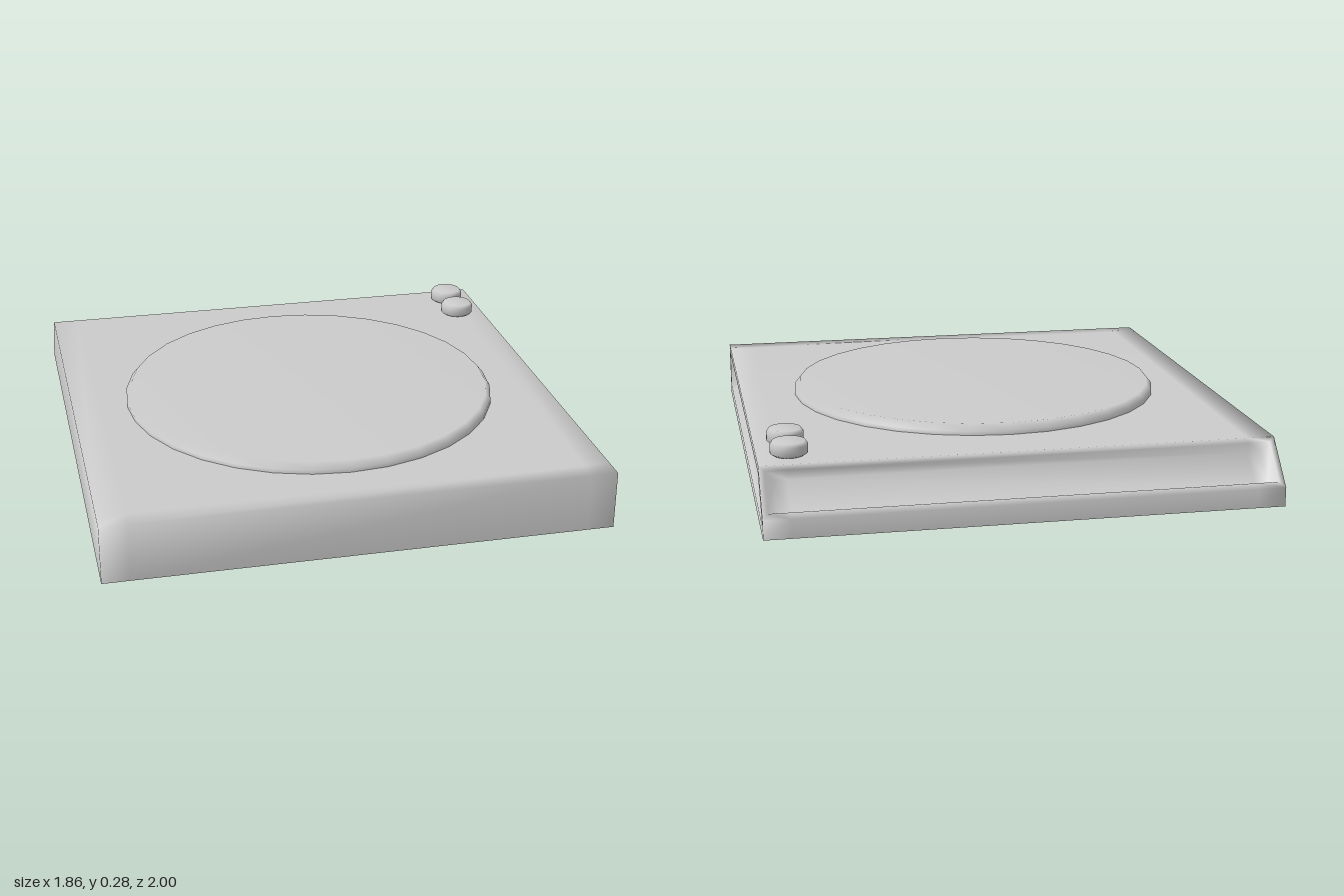
import * as THREE from 'three';
import { mergeVertices } from 'three/addons/utils/BufferGeometryUtils.js';

const material = new THREE.MeshStandardMaterial({ color: 0xcccccc, side: THREE.DoubleSide });

// Smooth shell open underneath, with recesses in the right side and the sloped back
function shellGeometry() {
  const positions = [];
  const quad = (a, b, c, d) => positions.push(...a, ...b, ...c, ...a, ...c, ...d);

  // Joins successive eight-point rings and closes the last one
  const panel = (rings) => {
    for (let k = 0; k + 1 < rings.length; k++) {
      const o = rings[k], n = rings[k + 1];
      for (let i = 0; i < 8; i++) {
        const j = (i + 1) % 8;
        quad(o[i], n[i], n[j], o[j]);
      }
    }
    const r = rings[rings.length - 1];
    for (let i = 0; i < 3; i++) quad(r[i], r[7 - i], r[6 - i], r[i + 1]);
  };

  // Front, top and back lip, swept across x; the slope is left for its recess
  const xs = [-0.93, -0.83, 0.83, 0.93];
  const profile = [[1, 0], [1, 0.22], [0.92, 0.22], [-0.86, 0.22], [-1, 0.07], [-1, 0]];
  for (let p = 0; p < 5; p++) {
    if (p === 3) continue;
    const [z0, y0] = profile[p], [z1, y1] = profile[p + 1];
    for (let i = 0; i < 3; i++) {
      quad([xs[i], y0, z0], [xs[i + 1], y0, z0], [xs[i + 1], y1, z1], [xs[i], y1, z1]);
    }
  }

  // Side outline as [z, y]: top row front to back, bottom row back to front
  const outline = [[1, 0.22], [0.92, 0.22], [-0.86, 0.22], [-1, 0.07],
    [-1, 0], [-0.86, 0], [0.92, 0], [1, 0]];
  const rim = [[0.97, 0.19], [0.9, 0.19], [-0.835, 0.19], [-0.97, 0.055],
    [-0.97, 0.04], [-0.835, 0.04], [0.9, 0.04], [0.97, 0.04]];
  const floor = [[0.96, 0.18], [0.88, 0.18], [-0.79, 0.18], [-0.95, 0.06],
    [-0.95, 0.045], [-0.79, 0.045], [0.88, 0.045], [0.96, 0.045]];
  const atX = (x, ring) => ring.map(([z, y]) => [x, y, z]);
  panel([atX(0.93, outline), atX(0.93, rim), atX(0.89, floor)]);
  panel([atX(-0.93, outline).reverse()]);

  // Sloped back: t runs down the slope, depth goes inward
  const slopeRing = (end, t0, t1, depth) => {
    const row = [end, 0.83, -0.83, -end];
    const at = (x, t) => [x, 0.22 - 0.15 * t - 0.68 * depth, -0.86 - 0.14 * t + 0.73 * depth];
    return [...row.map((x) => at(x, t0)), ...row.reverse().map((x) => at(x, t1))];
  };
  panel([slopeRing(0.93, 0, 1, 0), slopeRing(0.91, 0.1, 0.88, 0), slopeRing(0.88, 0.2, 0.8, 0.035)]);

  let geometry = new THREE.BufferGeometry();
  geometry.setAttribute('position', new THREE.Float32BufferAttribute(positions, 3));
  geometry = mergeVertices(geometry);
  geometry.computeVertexNormals();
  return geometry;
}

// Round part turned from a [radius, y] profile
function turned(name, points, segments, x, z) {
  const geometry = new THREE.LatheGeometry(points.map(([r, y]) => new THREE.Vector2(r, y)), segments);
  const mesh = new THREE.Mesh(geometry, material);
  mesh.name = name;
  mesh.position.set(x, 0, z);
  return mesh;
}

export function createModel() {
  const model = new THREE.Group();
  model.name = 'flatScale';

  const body = new THREE.Mesh(shellGeometry(), material);
  body.name = 'body';
  model.add(body);

  // Large round plate with a chamfered edge, open underneath
  model.add(turned('plate', [[0.72, 0.217], [0.72, 0.236], [0.7, 0.26], [0, 0.26]], 32, 0, 0.07));

  // Two buttons in the back corner
  const button = [[0, 0.223], [0.055, 0.223], [0.067, 0.232], [0.067, 0.262], [0.058, 0.275], [0, 0.277]];
  for (const z of [-0.75, -0.59]) model.add(turned('button', button, 32, 0.815, z));

  return model;
}
